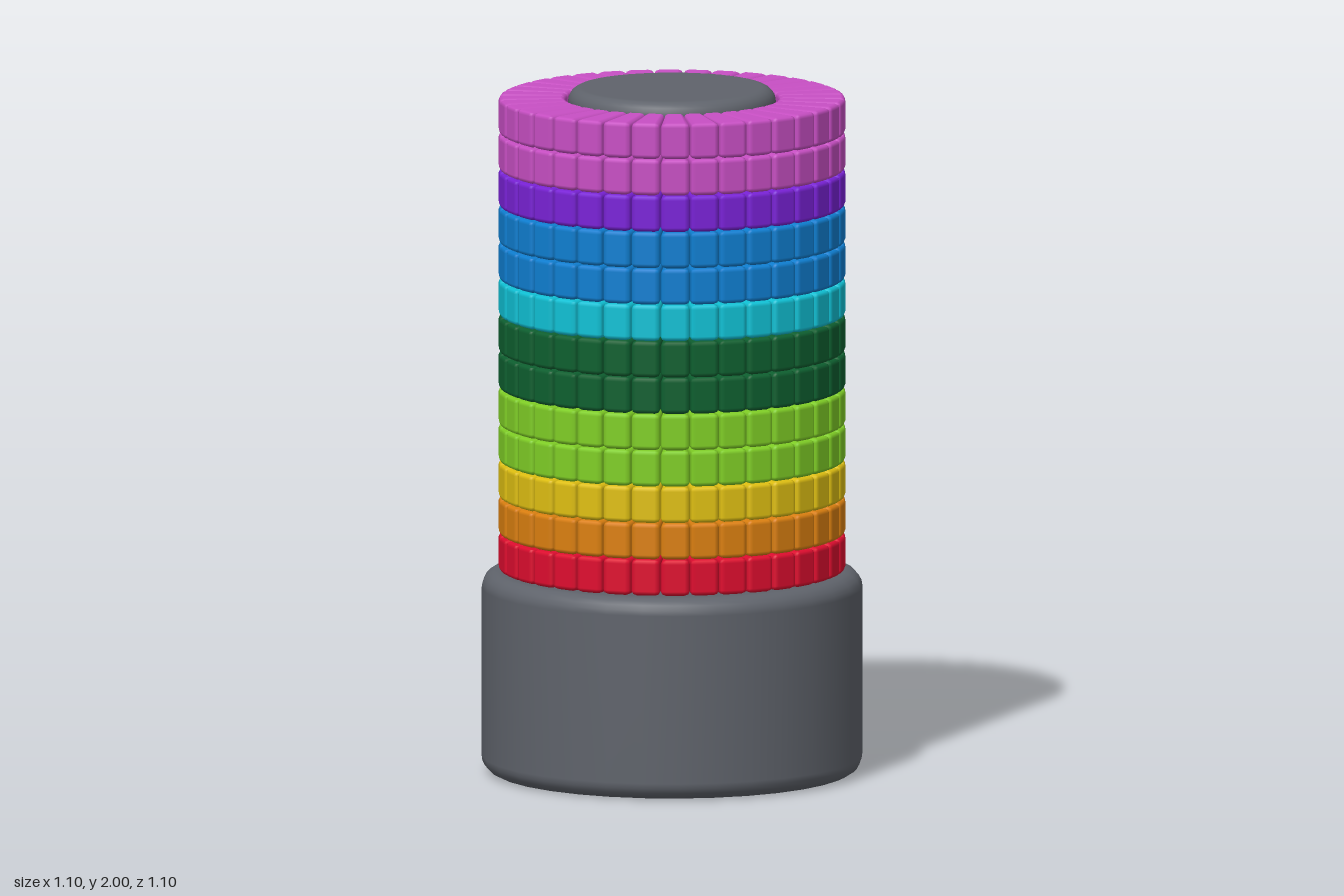
import * as THREE from 'three';
import { mergeGeometries } from 'three/addons/utils/BufferGeometryUtils.js';
import { RoundedBoxGeometry } from 'three/addons/geometries/RoundedBoxGeometry.js';

const material = (name, color) => {
  const m = new THREE.MeshStandardMaterial({ color });
  m.name = name;
  return m;
};

// Upright solid cylinder with rounded rims, smooth shaded
function roundedCylinder(radius, y0, y1, bevel, sides) {
  const points = [new THREE.Vector2(0, y0)];
  const arc = (cy, from) => {
    for (let i = 0; i <= 5; i++) {
      const a = from + (i / 5) * Math.PI / 2;
      points.push(new THREE.Vector2(radius - bevel + Math.cos(a) * bevel, cy + Math.sin(a) * bevel));
    }
  };
  arc(y0 + bevel, -Math.PI / 2);
  arc(y1 - bevel, 0);
  points.push(new THREE.Vector2(0, y1));
  return new THREE.LatheGeometry(points, sides);
}

// Ring of rounded wedge blocks, centred on y = 0
function wedgeRing(inner, outer, height, count) {
  const mid = (inner + outer) / 2;
  const halfAngle = Math.PI / count;
  const block = new RoundedBoxGeometry(2 * mid * Math.tan(halfAngle) - 0.001, height, outer - inner, 1, 0.013);
  block.translate(0, 0, mid);
  // Taper each block towards the centre
  const pos = block.attributes.position;
  for (let i = 0; i < pos.count; i++) pos.setX(i, pos.getX(i) * pos.getZ(i) / mid);
  // Tilt the side normals to follow the taper
  const nor = block.attributes.normal;
  const n = new THREE.Vector3();
  for (let i = 0; i < nor.count; i++) {
    n.fromBufferAttribute(nor, i);
    n.z -= Math.abs(n.x) * Math.tan(halfAngle);
    n.normalize();
    nor.setXYZ(i, n.x, n.y, n.z);
  }
  const blocks = [];
  for (let i = 0; i < count; i++) blocks.push(block.clone().rotateY((2 * i + 1) * halfAngle));
  const ring = mergeGeometries(blocks);
  ring.clearGroups();
  return ring;
}

export function createModel() {
  const group = new THREE.Group();
  group.name = 'ringTower';

  const grey = material('grey', 0x5f636b);
  const red = material('red', 0xe00d2f);
  const orange = material('orange', 0xdc8010);
  const yellow = material('yellow', 0xe0c012);
  const lime = material('lime', 0x80cf26);
  const green = material('darkGreen', 0x0e6030);
  const cyan = material('cyan', 0x10c2d6);
  const blue = material('blue', 0x0f7fd2);
  const violet = material('violet', 0x7a22d8);
  const pink = material('pink', 0xc84fc4);

  const add = (name, geometry, mat) => {
    const mesh = new THREE.Mesh(geometry, mat);
    mesh.name = name;
    group.add(mesh);
    return mesh;
  };

  // Base and the core that runs up through the rings
  add('base', roundedCylinder(0.55, 0, 0.59, 0.05, 32), grey);
  add('core', roundedCylinder(0.3, 0.5, 2, 0.04, 48), grey);

  // Stack of coloured rings, bottom to top
  const stack = [red, orange, yellow, lime, lime, green, green, cyan, blue, blue, violet, pink, pink];
  const bottom = 0.59;
  const pitch = (1.973 - bottom) / stack.length;
  const ring = wedgeRing(0.308, 0.5, pitch - 0.001, 36);
  stack.forEach((mat, i) => {
    add(`ring${i + 1}`, ring, mat).position.y = bottom + (i + 0.5) * pitch;
  });

  return group;
}
